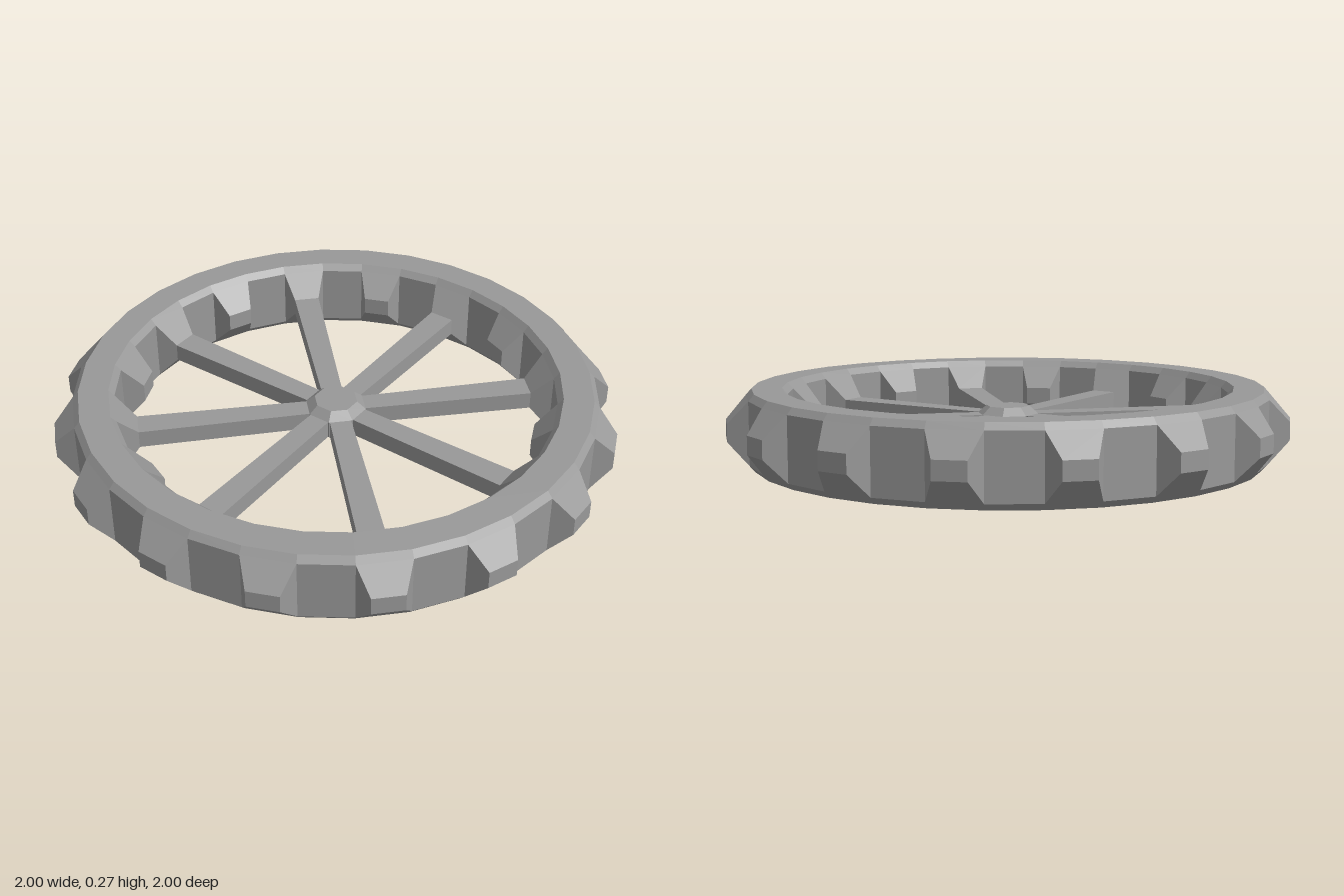
import * as THREE from 'three';

const SIDES = 32;               // ring facets; every second one carries teeth
const STEP = (Math.PI * 2) / SIDES;
const FIRST = Math.PI / 2 - STEP / 2; // direction of the first tooth
const MID_Y = 0.135;

// Block reaching from radius r0 to r1 along +z, with its own width and height at each end
function taperedBlock(r0, w0, h0, r1, w1, h1) {
  const geo = new THREE.BoxGeometry(1, 1, 1);
  const p = geo.attributes.position;
  for (let i = 0; i < p.count; i++) {
    const outer = p.getZ(i) > 0;
    p.setXYZ(
      i,
      p.getX(i) * (outer ? w1 : w0),
      MID_Y + p.getY(i) * (outer ? h1 : h0),
      outer ? r1 : r0
    );
  }
  geo.computeVertexNormals();
  return geo;
}

function lathe(profile, sides) {
  return new THREE.LatheGeometry(profile.map(([r, y]) => new THREE.Vector2(r, y)), sides);
}

export function createModel() {
  const model = new THREE.Group();
  model.name = 'toothedWheel';
  const grey = new THREE.MeshStandardMaterial({ color: 0x999999, flatShading: true });
  grey.name = 'grey';

  const add = (name, geo, angle = 0) => {
    const mesh = new THREE.Mesh(geo, grey);
    mesh.name = name;
    mesh.rotation.y = angle;
    model.add(mesh);
  };

  // Rim with small bevels on all four edges
  const outerR = 0.932, innerR = 0.785;
  add('rim', lathe([
    [0.912, 0], [outerR, 0.023], [outerR, 0.247], [0.912, 0.27],
    [0.805, 0.27], [innerR, 0.247], [innerR, 0.023], [0.805, 0], [0.912, 0],
  ], SIDES));

  // Teeth: each grows from a full rim facet to a small tip
  const flat = Math.cos(STEP / 2), chord = 2 * Math.sin(STEP / 2);
  const facetH = 0.224, tipH = 0.065;
  const outerTooth = taperedBlock(outerR * flat, outerR * chord, facetH, 1.0, 0.112, tipH);
  const innerTooth = taperedBlock(0.71, 0.094, tipH, innerR * flat, innerR * chord, facetH);
  for (let i = 0; i < SIDES / 2; i++) {
    const angle = FIRST - i * STEP * 2;
    add('outerTooth', outerTooth, angle);
    add('innerTooth', innerTooth, angle);
  }

  // Spokes run from the hub to every second inner tooth
  const spoke = taperedBlock(0.095, 0.076, tipH, 0.71, 0.094, tipH);
  for (let i = 0; i < 8; i++) add('spoke', spoke, FIRST - (i * Math.PI) / 4);

  // Eight-sided hub with bevelled top and bottom
  add('hub', lathe([
    [0, 0.075], [0.078, 0.075], [0.11, 0.1025], [0.11, 0.1675], [0.078, 0.195], [0, 0.195],
  ], 8), FIRST - Math.PI / 8);

  return model;
}
